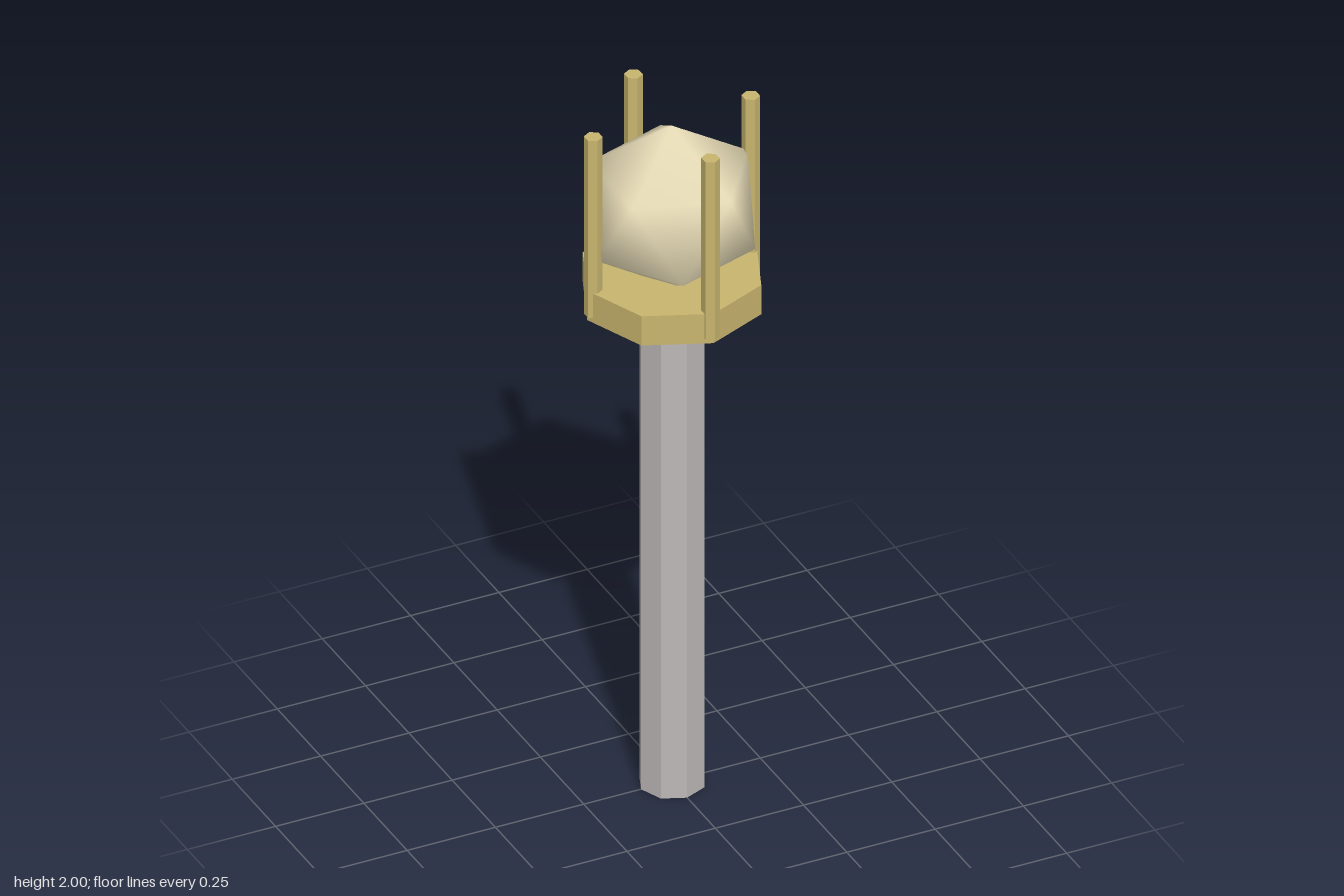
import * as THREE from 'three';

const gold = new THREE.MeshStandardMaterial({ color: 0xc8b56e, flatShading: true });
const steel = new THREE.MeshStandardMaterial({ color: 0xbcb8b7, flatShading: true });
const cream = new THREE.MeshStandardMaterial({ color: 0xeee2bc });

// Upright prism standing between two heights
function prism(name, radius, sides, y0, y1, material) {
  const mesh = new THREE.Mesh(new THREE.CylinderGeometry(radius, radius, y1 - y0, sides), material);
  mesh.name = name;
  mesh.position.y = (y0 + y1) / 2;
  return mesh;
}

// Twenty-sided orb standing on a corner, with rounded (radial) normals
function makeOrb(radius, y) {
  const geometry = new THREE.IcosahedronGeometry(radius, 0);
  const golden = (1 + Math.sqrt(5)) / 2;
  geometry.rotateZ(-Math.atan(1 / golden));
  const pos = geometry.attributes.position;
  const v = new THREE.Vector3();
  for (let i = 0; i < pos.count; i++) {
    v.fromBufferAttribute(pos, i).normalize();
    geometry.attributes.normal.setXYZ(i, v.x, v.y, v.z);
  }
  const orb = new THREE.Mesh(geometry, cream);
  orb.name = 'orb';
  orb.position.y = y;
  return orb;
}

export function createModel() {
  const model = new THREE.Group();
  model.name = 'scepter';

  // Handle and the collar on top of it
  model.add(prism('shaft', 0.088, 8, 0, 1.46, steel));
  model.add(prism('collar', 0.24, 8, 1.453, 1.541, gold));

  model.add(makeOrb(0.24, 1.731));

  // Four prongs around the orb
  const prongs = new THREE.Group();
  prongs.name = 'prongs';
  for (let i = 0; i < 4; i++) {
    const angle = (i * Math.PI) / 2;
    const prong = prism('prong', 0.024, 6, 1.467, 2, gold);
    prong.position.x = 0.223 * Math.cos(angle);
    prong.position.z = 0.223 * Math.sin(angle);
    prongs.add(prong);
  }
  model.add(prongs);

  return model;
}
